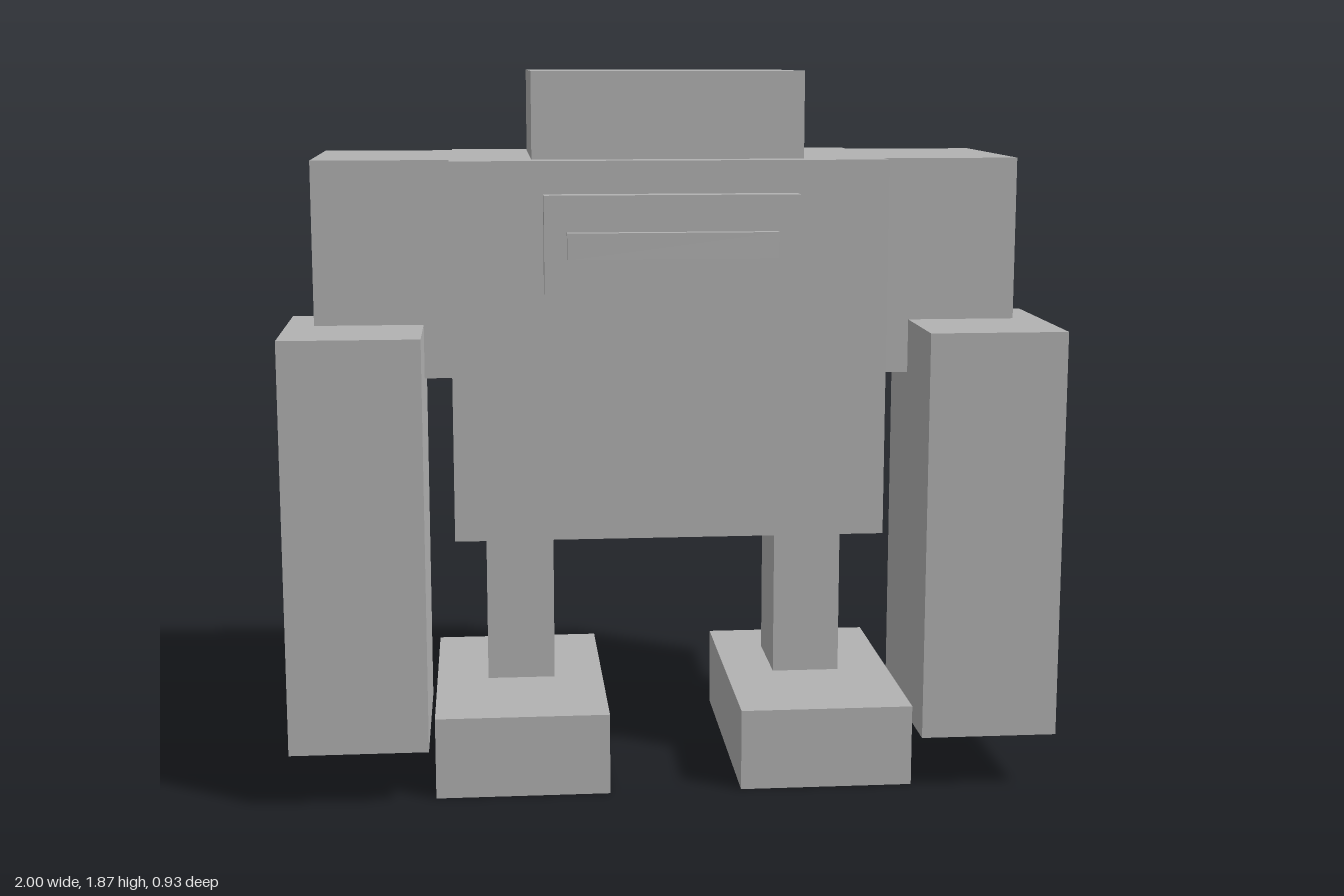
import * as THREE from 'three';

const grey = new THREE.MeshStandardMaterial({ color: 0xb2b2b2 });
grey.name = 'grey';

// Box given by its extents along each axis
function block(name, [x0, x1], [y0, y1], [z0, z1]) {
  const mesh = new THREE.Mesh(new THREE.BoxGeometry(x1 - x0, y1 - y0, z1 - z0), grey);
  mesh.position.set((x0 + x1) / 2, (y0 + y1) / 2, (z0 + z1) / 2);
  mesh.name = name;
  return mesh;
}

export function createModel() {
  const robot = new THREE.Group();
  robot.name = 'robot';

  // Body, head and chest panel with its raised bar
  robot.add(
    block('torso', [-0.57, 0.57], [0.65, 1.645], [-0.465, 0.25]),
    block('head', [-0.357, 0.357], [1.645, 1.872], [-0.393, 0.178]),
    block('chestPanel', [-0.33, 0.33], [1.305, 1.56], [0.25, 0.305]),
    block('chestBar', [-0.272, 0.272], [1.398, 1.466], [0.305, 0.335]),
  );

  // Limbs, mirrored left and right
  for (const [side, s] of [['left', 1], ['right', -1]]) {
    const limb = (name, x, y, z) => {
      const mesh = block(side + name, x, y, z);
      mesh.position.x *= s;
      robot.add(mesh);
    };
    limb('Shoulder', [0.57, 0.927], [1.075, 1.645], [-0.393, 0.178]);
    limb('Forearm', [0.643, 1], [0.147, 1.217], [-0.033, 0.463]);
    limb('Leg', [0.305, 0.488], [0.215, 0.65], [-0.19, 0.055]);
    limb('Foot', [0.173, 0.628], [0, 0.215], [-0.362, 0.405]);
  }
  return robot;
}
